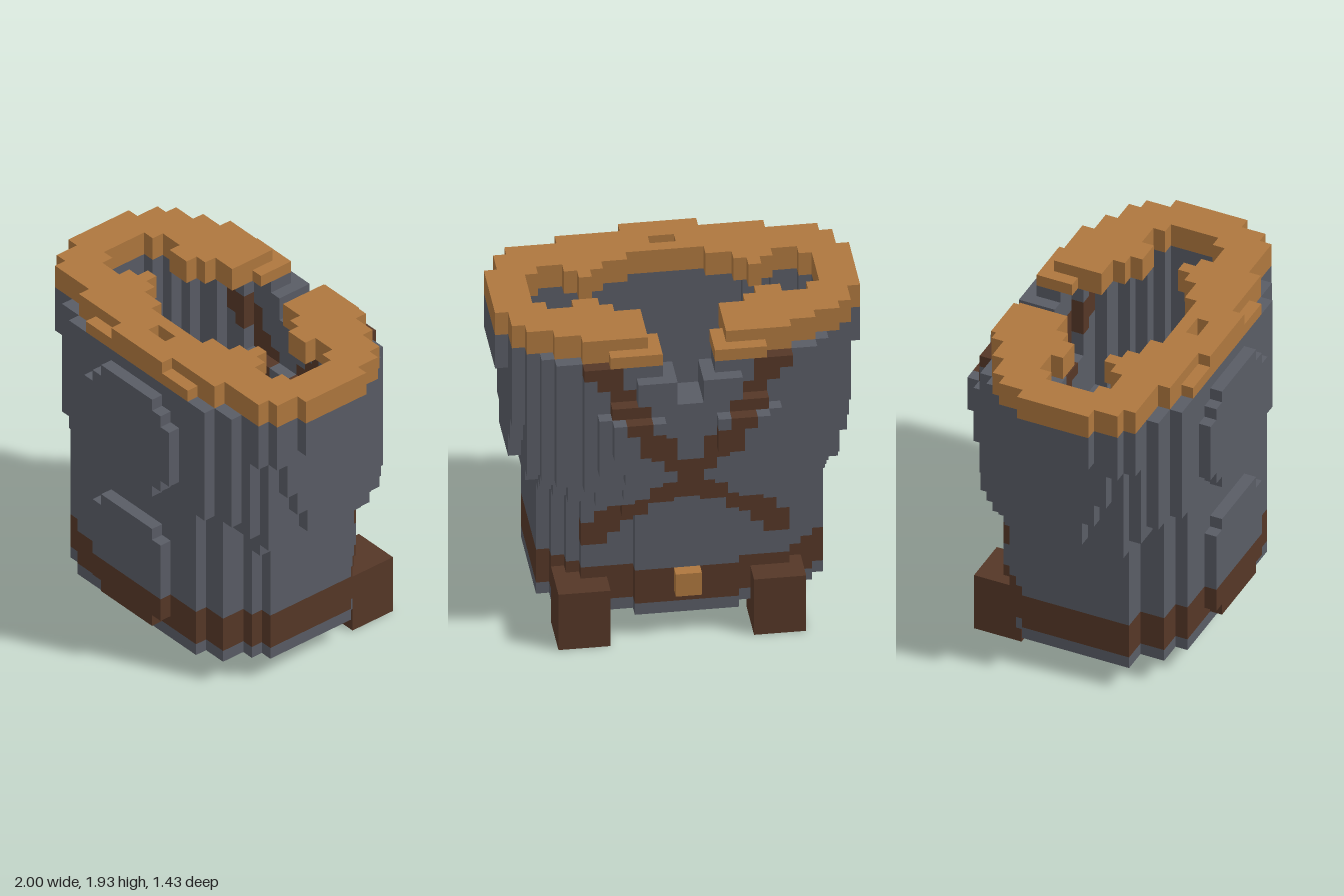
import * as THREE from 'three';

const UNIT = 1 / 14; // edge of one block
const HALF = 15, TOP = 27;

const mat = (name, color) => {
  const m = new THREE.MeshStandardMaterial({ color });
  m.name = name;
  return m;
};

// Outlines are rows of [zFrom, zTo, halfWidth]
const inRows = (rows, x, z) => rows.some(([a, b, w]) => z > a && z < b && x < w);

const waist = [[-6, -5, 8], [-5, -4, 9], [-4, -3, 10], [-3, 6, 11], [6, 8, 9], [8, 9, 7]];
const waistTop = [[-7, -6, 7], [-6, -5, 9], [-5, -4, 10], [-4, 6, 11], [6, 8, 9], [8, 9, 7]];
const waistHole = [[-4, -3, 6], [-3, 4, 8], [4, 5, 6], [5, 6, 4]];
const ribs = [[-8, -7, 5], [-7, -6, 7], [-6, -5, 9], [-5, -4, 11], [-4, 6, 12], [6, 8, 9], [8, 9, 7]];
const chestBack = [[-8, -7, 8], [-7, -6, 10], [-6, -5, 11], [-5, 6, 12], [6, 7, 11]];
const chestFront = [[7, 8, 10], [8, 9, 8]];
const chestHole = [[-5, -4, 6], [-4, -3, 8], [-3, -2, 9], [-2, 4, 10], [4, 5, 8], [5, 6, 6]];
const rim = [[-7, -6, 8], [-6, -5, 10], [-5, -4, 12], [-4, -2, 13], [-2, 4, 14], [4, 6, 13], [6, 7, 12], [7, 8, 8]];
const rimHole = [[-4, -3, 3], [-3, -2, 5], [-2, -1, 6], [-1, 3, 8], [3, 4, 5], [4, 5, 3]];

// Stepped octagonal plates on the front
function isPlate(x, y, z) {
  if (z < 9 || z > 10) return false;
  if (y > 15 && y < 24) return x < (y < 16 || y > 23 ? 3 : y < 17 || y > 22 ? 4 : 5);
  return y > 3 && y < 12 && x < (y < 4 || y > 11 ? 3 : 4);
}

// Gold collar and shoulder tops, open at the back of the neck
function isRim(x, y, z) {
  if (y < 25) return false;
  const upper = y > 26;
  const outer = inRows(rim, x, z) ||
    (z > 8 && z < 9 && x < (upper ? 3 : 6)) ||
    (!upper && z > -8 && z < -7 && x < 6);
  const tab = z > 2 && z < 3 && x > 6 && x < 7;
  const pit = x > 8 && ((x < 10 && z > -2 && z < 4) || (x < 11 && z > -1 && z < 3));
  const slot = x < 1 && z > 6 && z < 7;
  const neck = z < -3 && x < (upper || z > -5 ? 3 : 2);
  return outer && !pit && !slot && !neck && (tab || !inRows(rimHole, x, z));
}

// Lower body, with a small notch on the left front corner
function isWaist(sx, y, z) {
  const x = Math.abs(sx);
  if (inRows(waistHole, x, z)) return false;
  if (y > 12) return inRows(waistTop, x, z);
  if (sx > 10 && z > 5) return false;
  return inRows(waist, x, z) || (z > -7 && z < -6 && x < (y > 11 ? 5 : 4));
}

// Upper body, widening in steps towards the shoulders
function isChest(x, y, z) {
  if (y < 14) return inRows(ribs, x, z) && !inRows(waistHole, x, z);
  const neck = z < -3 && ((x < 2 && y > 24) || (x < 1 && y > 22));
  const hole = inRows(chestHole, x, z) ||
    (y > 16 && z > -1 && z < 3 && x < 11) ||
    (y > 18 && z > -6 && z < -5 && x < 4);
  if (neck || hole) return false;
  const side = y < 16 ? [-2, 3] : y < 18 ? [-3, 4] : y < 21 ? [-4, 5] : [-4, 6];
  const bladeWidth = y < 16 ? 5 : y < 21 ? 7 : y < 22 ? 6 : 4;
  return inRows(chestBack, x, z) || inRows(y < 15 ? ribs.slice(-2) : chestFront, x, z) ||
    (x < 13 && z > side[0] && z < side[1]) ||
    (y > 21 && x < 12 && z > 6 && z < 7) ||
    (y > 22 && x < 14 && z > -2 && z < 4) ||
    (y > 15 && y < 24 && z > -9 && z < -8 && x < bladeWidth) ||
    (y > 18 && y < 21 && z > -10 && z < -9 && x > 2 && x < 6);
}

// Crossed straps on the back
function isStrap(x, y, z) {
  if (z > -5 || y < 8 || y > 25) return false;
  return y > 15 ? Math.abs(x - (y - 15) * 0.68) < 1.15 : Math.abs(x - (15 - y) * 1.15) < 1.5;
}

// Which part fills the block centred here
function partAt(sx, y, z) {
  if (y < 0 || y > TOP) return null;
  const x = Math.abs(sx);
  if (y < 5 && z > -8 && z < -4) {
    if (sx > 6 && sx < 10) return 'leftPouch';
    if (sx > -9 && sx < -5) return 'rightPouch';
  }
  if (x < 1 && y > 4 && y < 6 && z > -8 && z < -7) return 'buckle';
  if (isRim(x, y, z)) return 'collar';
  const plate = isPlate(x, y, z);
  const body = y > 2 && y < 25 && (y < 13 ? isWaist(sx, y, z) : isChest(x, y, z));
  if (!plate && !body) return null;
  if (y > 3 && y < 6) return 'belt';
  if (plate) return 'frontPlates';
  return isStrap(x, y, z) ? 'backStraps' : 'torso';
}

// Normal n and two edge directions u, v per face, with u cross v along n
const FACES = [
  [[1, 0, 0], [0, 1, 0], [0, 0, 1]], [[-1, 0, 0], [0, 0, 1], [0, 1, 0]],
  [[0, 1, 0], [0, 0, 1], [1, 0, 0]], [[0, -1, 0], [1, 0, 0], [0, 0, 1]],
  [[0, 0, 1], [1, 0, 0], [0, 1, 0]], [[0, 0, -1], [0, 1, 0], [1, 0, 0]],
];

export function createModel() {
  const steel = mat('slate grey', 0x595c65);
  const leather = mat('dark leather', 0x553727);
  const gold = mat('bronze gold', 0xae773e);
  const materials = {
    torso: steel, frontPlates: steel, belt: leather, backStraps: leather,
    leftPouch: leather, rightPouch: leather, collar: gold, buckle: gold,
  };

  // Gather the exposed block faces of each part
  const data = {};
  for (const name in materials) data[name] = { position: [], normal: [] };
  for (let i = -HALF; i < HALF; i++) for (let j = 0; j < TOP; j++) for (let k = -11; k < 11; k++) {
    const c = [i + 0.5, j + 0.5, k + 0.5];
    const name = partAt(...c);
    if (!name) continue;
    for (const [n, u, v] of FACES) {
      if (partAt(c[0] + n[0], c[1] + n[1], c[2] + n[2])) continue;
      for (const [a, b] of [[-1, -1], [1, -1], [1, 1], [-1, -1], [1, 1], [-1, 1]]) {
        for (let d = 0; d < 3; d++) {
          data[name].position.push((c[d] + (n[d] + a * u[d] + b * v[d]) / 2) * UNIT);
        }
        data[name].normal.push(...n);
      }
    }
  }

  const model = new THREE.Group();
  model.name = 'chestArmour';
  for (const name in data) {
    const g = new THREE.BufferGeometry();
    for (const key of ['position', 'normal']) {
      g.setAttribute(key, new THREE.Float32BufferAttribute(data[name][key], 3));
    }
    const mesh = new THREE.Mesh(g, materials[name]);
    mesh.name = name;
    model.add(mesh);
  }
  return model;
}
